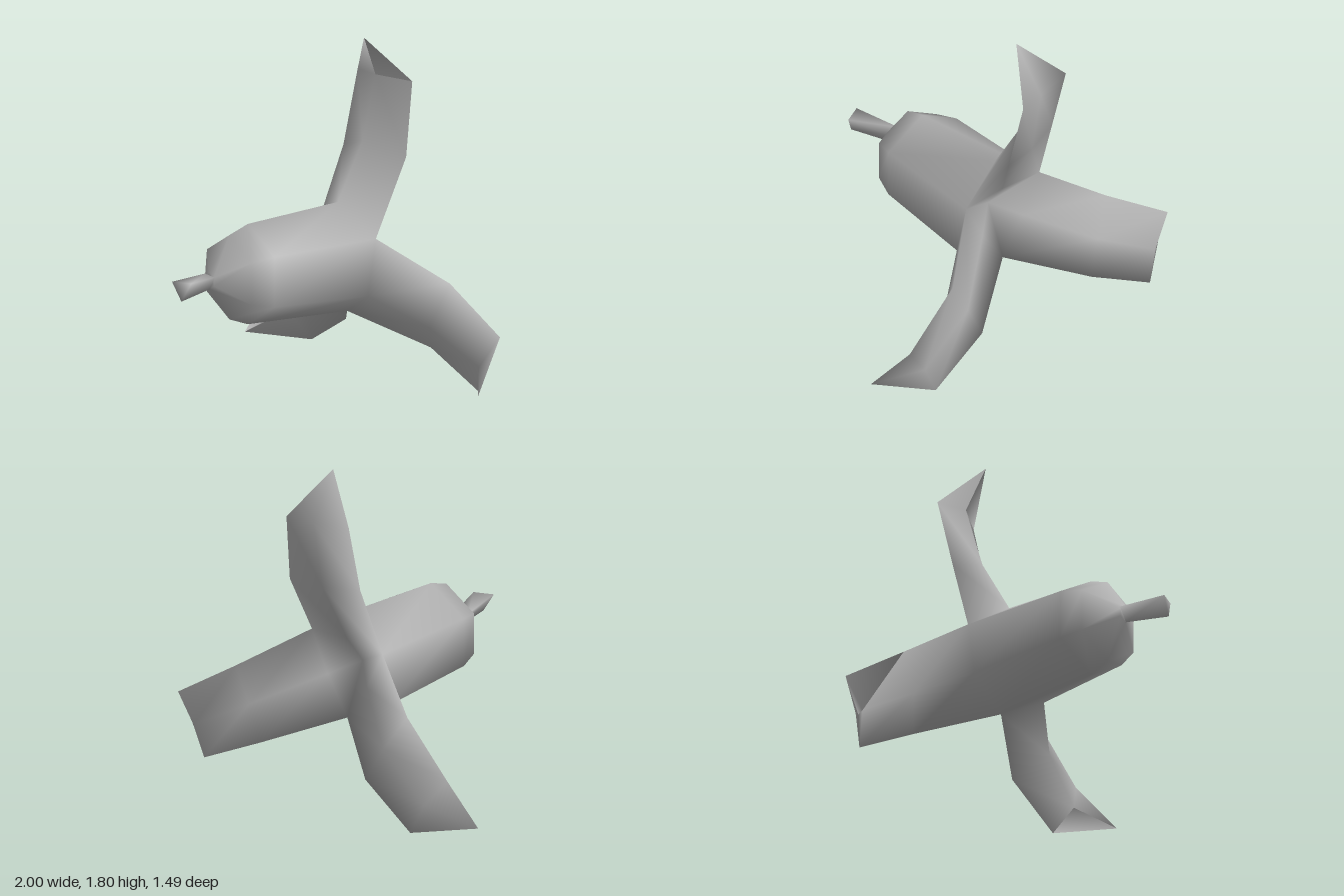
import * as THREE from 'three';

const CENTRE_Y = 0.635;

// Turns a point (sideways, outwards, z) about the flower's axis
function around(x, r, z, angle) {
  const c = Math.cos(angle), s = Math.sin(angle);
  return [x * c - r * s, CENTRE_Y + x * s + r * c, z];
}

// Each petal: rows of right edge, outer ridge, left edge, inner middle
// as (sideways, outwards, z), then the tip
const PETALS = [
  { name: 'topPetal',
    rows: [[[0.175, 0.535, -0.675], [-0.02, 0.605, -0.535], [-0.22, 0.545, -0.56], [-0.02, 0.53, -0.635]],
      [[0.135, 0.925, -0.745], [-0.04, 0.945, -0.635], [-0.23, 0.935, -0.66], [-0.02, 0.92, -0.705]]],
    tip: [0, 1.165, -0.53] },
  { name: 'lowerRightPetal',
    rows: [[[0.225, 0.53, -0.58], [0, 0.605, -0.555], [-0.195, 0.55, -0.695], [0, 0.53, -0.645]],
      [[0.2, 0.958, -0.66], [0, 0.95, -0.64], [-0.175, 0.955, -0.74], [0, 0.93, -0.705]]],
    tip: [-0.022, 1.17, -0.5] },
  { name: 'lowerLeftPetal',
    rows: [[[0.209, 0.548, -0.69], [0, 0.605, -0.565], [-0.215, 0.52, -0.675], [0, 0.53, -0.68]],
      [[0.182, 0.945, -0.735], [0, 0.945, -0.67], [-0.19, 0.94, -0.74], [0, 0.925, -0.735]]],
    tip: [0, 1.153, -0.53] },
];

export function createModel() {
  const model = new THREE.Group();
  model.name = 'flower';
  const grey = new THREE.MeshStandardMaterial({ color: 0xb0b0b0, side: THREE.DoubleSide });
  grey.name = 'grey';

  const points = [];
  const parts = [];
  const add = (p) => points.push(p) - 1;
  const quad = (list, a, b, c, d) => list.push(a, d, c, a, c, b);

  // Six-sided body, from the stem end back to the mouth
  const body = [];
  const rings = [[0.48, 0.045], [0.35, 0.227], [0.23, 0.27], [-0.42, 0.29]].map(([z, r], i) =>
    Array.from({ length: 6 }, (_, k) => {
      const ridge = i === 3 && k % 2 === 1;
      return add(around(0, ridge ? 0.305 : r, ridge ? -0.36 : z, (k - 1) * Math.PI / 3));
    }));
  const nose = add([0, CENTRE_Y, 0.48]);
  for (let k = 0; k < 6; k++) {
    const n = (k + 1) % 6;
    body.push(nose, rings[0][k], rings[0][n]);
    for (let i = 0; i < 3; i++) {
      quad(body, rings[i][k], rings[i][n], rings[i + 1][n], rings[i + 1][k]);
    }
  }
  parts.push(['body', body]);

  // Three thick petals growing out of the mouth and meeting in a shallow throat
  const throat = add([0, CENTRE_Y, -0.3]);
  PETALS.forEach(({ name, rows, tip }, p) => {
    const angle = p * Math.PI * 2 / 3;
    const index = [];
    // Cross-section loop: right edge, outer ridge, left edge, inner middle
    let last = [0, 1, 2].map((j) => rings[3][(p * 2 + j) % 6]);
    last.push(add(around(0, 0.16, -0.42, angle)));
    index.push(throat, last[3], last[0], throat, last[2], last[3]);
    for (const row of rows) {
      const next = row.map((q) => add(around(...q, angle)));
      for (let j = 0; j < 4; j++) {
        const n = (j + 1) % 4;
        quad(index, last[j], last[n], next[n], next[j]);
      }
      last = next;
    }
    const end = add(around(...tip, angle));
    for (let j = 0; j < 4; j++) index.push(last[j], end, last[(j + 1) % 4]);
    parts.push([name, index]);
  });

  // Shared smooth normals, so that body and petals flow into each other
  const whole = new THREE.BufferGeometry();
  whole.setAttribute('position', new THREE.Float32BufferAttribute(points.flat(), 3));
  whole.setIndex(parts.flatMap(([, index]) => index));
  whole.computeVertexNormals();
  for (const [name, index] of parts) {
    const geometry = new THREE.BufferGeometry();
    geometry.setAttribute('position', whole.getAttribute('position'));
    geometry.setAttribute('normal', whole.getAttribute('normal'));
    geometry.setIndex(index);
    const mesh = new THREE.Mesh(geometry, grey);
    mesh.name = name;
    model.add(mesh);
  }

  // Three-sided stem, bent a little sideways
  const stemPoints = [
    [-0.045, 0.665, 0.47], [0, 0.59, 0.47], [0.04, 0.66, 0.47],
    [0.02, 0.67, 0.74], [0.075, 0.57, 0.72], [0.12, 0.67, 0.69],
  ];
  const stemIndex = [3, 4, 5];
  for (let k = 0; k < 3; k++) {
    const n = (k + 1) % 3;
    quad(stemIndex, 3 + k, 3 + n, n, k);
  }
  const stemGeometry = new THREE.BufferGeometry();
  stemGeometry.setAttribute('position', new THREE.Float32BufferAttribute(stemPoints.flat(), 3));
  stemGeometry.setIndex(stemIndex);
  stemGeometry.computeVertexNormals();
  const stem = new THREE.Mesh(stemGeometry, grey);
  stem.name = 'stem';
  model.add(stem);

  return model;
}
